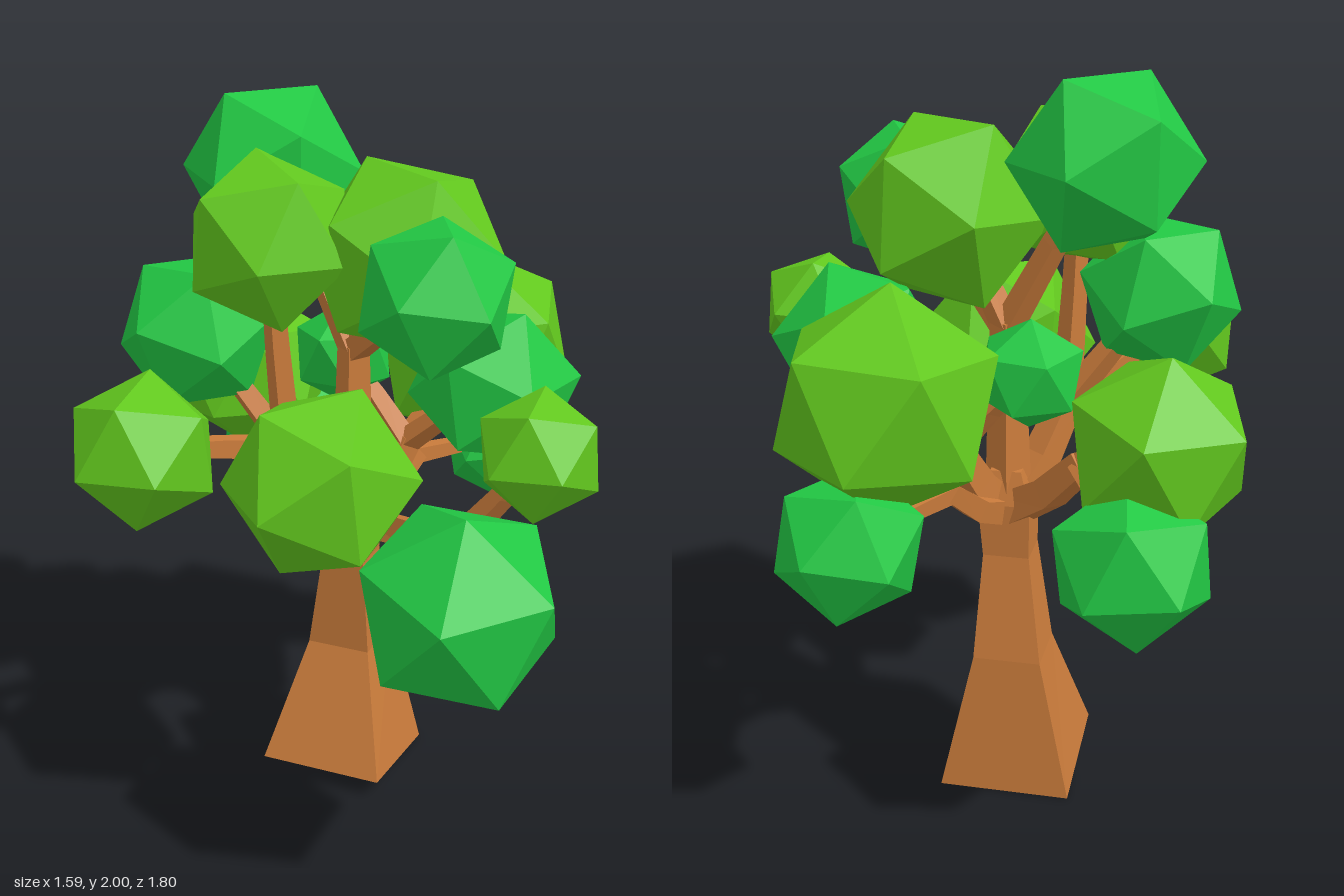
import * as THREE from 'three';

const V = (x, y, z) => new THREE.Vector3(x, y, z);
const paint = (color) => new THREE.MeshStandardMaterial({ color, flatShading: true });
const bark = paint(0xc97b3b);
const lightLeaf = paint(0x62c81e);
const darkLeaf = paint(0x22c844);

// Skin a series of four-cornered rings, capped at both ends
function loft(rings) {
  const points = [];
  const quad = (a, b, c, d) => points.push(a, b, c, a, c, d);
  for (let r = 0; r < rings.length - 1; r++) {
    const a = rings[r], b = rings[r + 1];
    for (let i = 0; i < 4; i++) {
      const j = (i + 1) % 4;
      quad(a[i], a[j], b[j], b[i]);
    }
  }
  quad(...[...rings[0]].reverse());
  quad(...rings[rings.length - 1]);
  const geo = new THREE.BufferGeometry().setFromPoints(points);
  geo.computeVertexNormals();
  return geo;
}

// Tapered square limb along a path of points
function limb(path, r0, r1) {
  const n = path.length - 1;
  return loft(path.map((p, k) => {
    const t = path[Math.min(k + 1, n)].clone().sub(path[Math.max(k - 1, 0)]).normalize();
    const u = V(0.12, 0.05, 1).cross(t).normalize();
    const v = t.clone().cross(u);
    const r = r0 + (r1 - r0) * k / n;
    return [1, 3, 5, 7].map((q) => {
      const a = q * Math.PI / 4;
      return p.clone().addScaledVector(u, r * Math.cos(a)).addScaledVector(v, r * Math.sin(a));
    });
  }));
}

// Diamond ring of the trunk: front, right, back, left corners, tipped by a slope
const diamond = (x, y, z, r, slope = 0) => [
  V(x, y + slope * r, z + r), V(x + r, y - slope * r, z),
  V(x, y - slope * r, z - r), V(x - r, y + slope * r, z),
];

export function createModel() {
  const tree = new THREE.Group();
  tree.name = 'tree';
  const add = (name, geo, mat) => {
    const mesh = new THREE.Mesh(geo, mat);
    mesh.name = name;
    tree.add(mesh);
    return mesh;
  };

  // Flared trunk with a tilted foot
  add('trunk', loft([
    diamond(0, 0.029, -0.13, 0.257, 0.11),
    diamond(0.04, 0.4, -0.17, 0.132),
    diamond(0.03, 0.69, -0.14, 0.09),
    diamond(0.03, 0.84, -0.13, 0.1),
    diamond(0.03, 0.93, -0.13, 0.06),
  ]), bark);

  // Faceted leaf clump; each one is turned a little further than the last
  let count = 0;
  const clump = (mat, centre, radius) => {
    const turn = count++ * 0.7;
    const mesh = add('leafClump' + count, new THREE.IcosahedronGeometry(radius, 0), mat);
    mesh.position.copy(centre);
    mesh.rotation.set(turn, turn * 1.7, turn * 0.6);
  };

  // Limb from the trunk to a fork, with a branch from there to each clump
  const crown = V(0.03, 0.8, -0.13);
  const bough = (name, fork, thickness, clumps) => {
    const bend = crown.clone().lerp(fork, 0.55);
    bend.y -= 0.025;
    add(name + 'Limb', limb([crown, bend, fork], thickness, thickness * 0.7), bark);
    for (const [mat, x, y, z, radius] of clumps) {
      const centre = V(x, y, z);
      const start = fork.clone().lerp(bend, 0.08);
      const elbow = fork.clone().lerp(centre, 0.5);
      add(name + 'Branch', limb([start, elbow, centre], thickness * 0.65, thickness * 0.42), bark);
      clump(mat, centre, radius);
    }
  };

  bough('centre', V(0.03, 1.34, -0.12), 0.065, [
    [darkLeaf, -0.11, 1.787, -0.35, 0.25],
    [lightLeaf, 0.12, 1.62, 0.02, 0.277],
    [darkLeaf, 0.07, 1.6, 0.31, 0.212],
  ]);
  bough('right', V(-0.18, 1.08, -0.11), 0.065, [
    [lightLeaf, -0.22, 1.67, -0.09, 0.24],
    [darkLeaf, -0.37, 1.39, -0.26, 0.225],
    [lightLeaf, -0.61, 1.18, 0, 0.21],
    [lightLeaf, -0.23, 1.14, 0.28, 0.262],
  ]);
  bough('left', V(0.2, 1.03, -0.12), 0.06, [
    [lightLeaf, 0.46, 1.23, -0.23, 0.305],
    [darkLeaf, 0.34, 1.26, 0.12, 0.235],
    [darkLeaf, 0.07, 1.25, -0.29, 0.15],
  ]);
  bough('leftLow', V(0.27, 0.94, -0.21), 0.05, [
    [darkLeaf, 0.6, 0.9, -0.28, 0.203],
  ]);
  bough('back', V(-0.03, 1.02, -0.4), 0.065, [
    [lightLeaf, -0.1, 1.12, -0.61, 0.255],
    [darkLeaf, 0.04, 0.87, -0.7, 0.22],
  ]);
  bough('front', V(0.14, 0.98, 0.4), 0.06, [
    [lightLeaf, 0.25, 1.24, 0.54, 0.172],
    [darkLeaf, -0.015, 0.93, 0.65, 0.277],
  ]);

  return tree;
}
